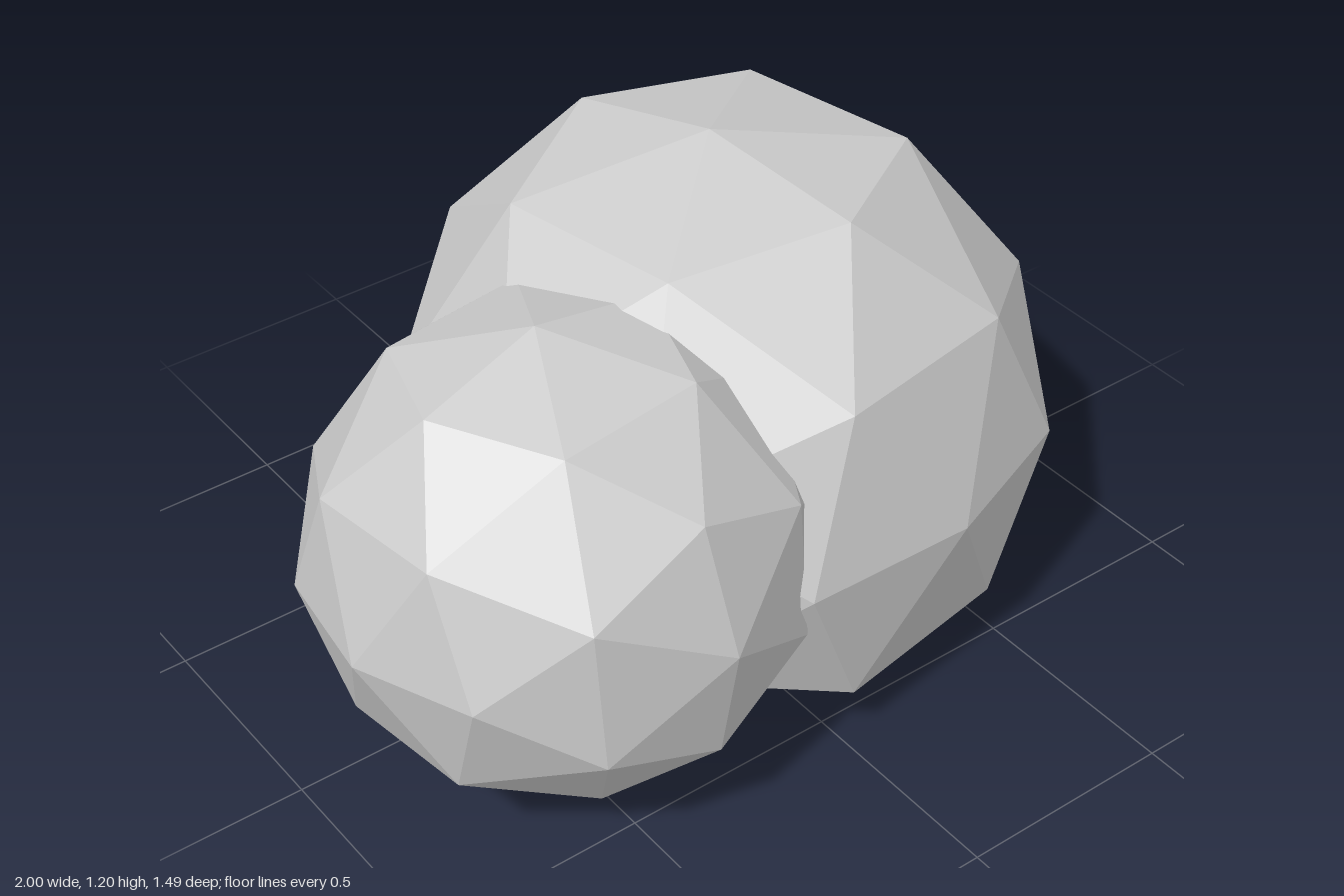
import * as THREE from 'three';

const material = new THREE.MeshStandardMaterial({
  color: 0xcccccc, flatShading: true, side: THREE.DoubleSide,
});

// Faceted leaf clump: an icosphere, open underneath with a ragged rim.
// reach: limit along each axis, slightly flattening the sides and top.
// cut: faces centred below this height (in radii) are left out; low: lowest point of the rim.
function leafClump(name, { radius, reach, center, spin, cut, low }) {
  const ball = new THREE.IcosahedronGeometry(radius, 1);
  ball.rotateY(spin[1]).rotateX(spin[0]).rotateZ(spin[2]);
  const p = ball.getAttribute('position');
  const corner = new THREE.Vector3();
  const kept = [];
  for (let i = 0; i < p.count; i += 3) {
    const middle = (p.getY(i) + p.getY(i + 1) + p.getY(i + 2)) / 3;
    if (middle < cut * radius) continue;
    for (let k = i; k < i + 3; k++) {
      corner.fromBufferAttribute(p, k).clampScalar(-reach, reach).add(center);
      kept.push(corner.x, Math.max(corner.y, low), corner.z);
    }
  }
  const geometry = new THREE.BufferGeometry();
  geometry.setAttribute('position', new THREE.Float32BufferAttribute(kept, 3));
  geometry.computeVertexNormals();
  const mesh = new THREE.Mesh(geometry, material);
  mesh.name = name;
  return mesh;
}

export function createModel() {
  const bush = new THREE.Group();
  bush.name = 'bush';
  bush.add(
    // tall middle clump
    leafClump('middleClump', {
      radius: 0.72, reach: 0.68, center: new THREE.Vector3(0.11, 0.518, -0.01),
      spin: [-0.03, Math.PI / 2 + 0.16, 0.02], cut: -0.47, low: 0.12,
    }),
    // medium clump at the front, on the model's right
    leafClump('frontClump', {
      radius: 0.535, reach: 0.523, center: new THREE.Vector3(-0.477, 0.565, 0.22),
      spin: [-0.05, 0.1, 0.04], cut: -0.6, low: 0.15,
    }),
    // small clump at the back, on the model's left
    leafClump('backClump', {
      radius: 0.375, reach: 0.364, center: new THREE.Vector3(0.636, 0.265, -0.384),
      spin: [0.13, 0.08, -0.12], cut: -0.6, low: 0,
    }),
  );
  return bush;
}
